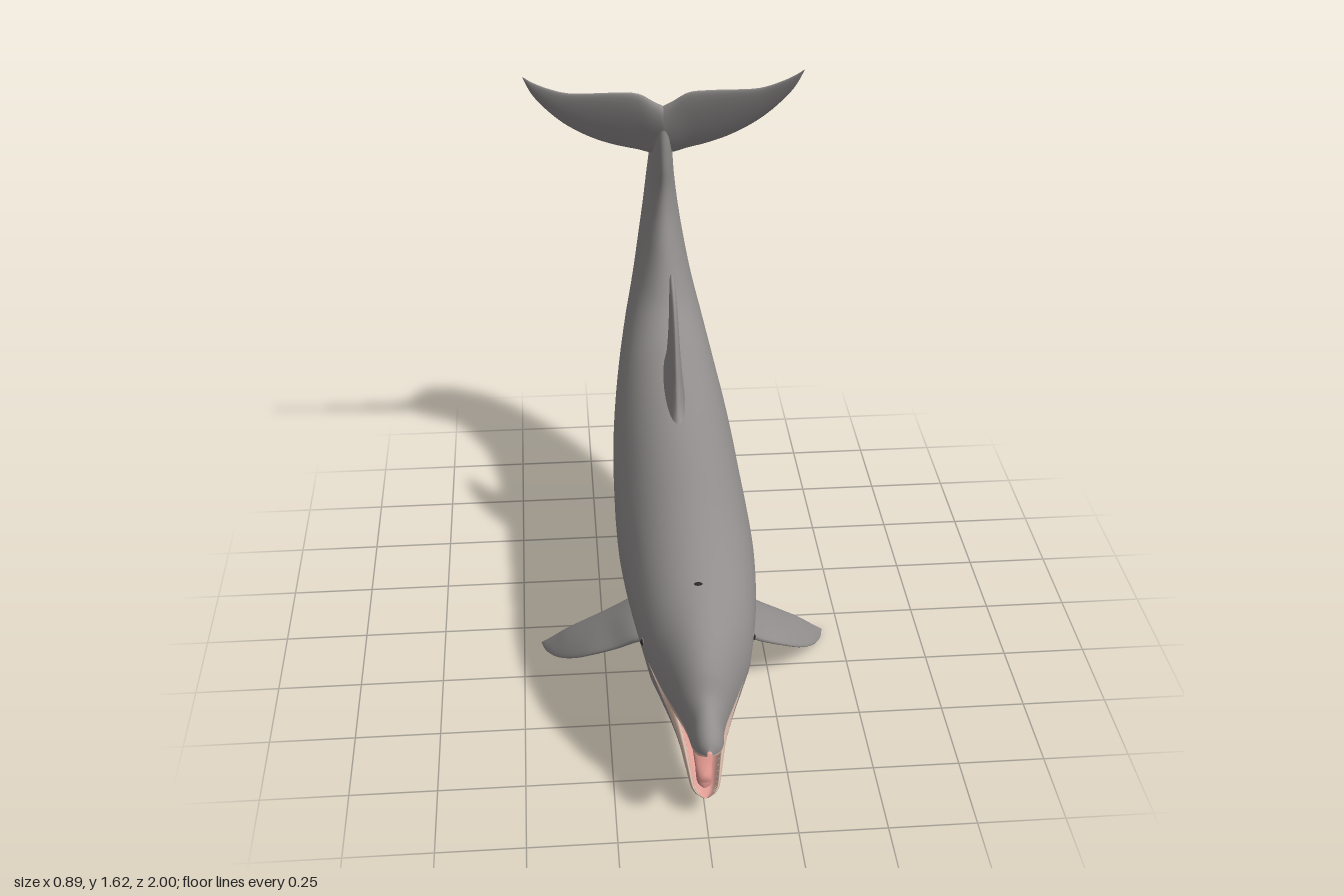
import * as THREE from 'three';

const mat = (name, color, side = THREE.FrontSide) => {
  const m = new THREE.MeshStandardMaterial({ color, side });
  m.name = name;
  return m;
};
const V = (x, y, z) => new THREE.Vector3(x, y, z);

// Collects rows of points and joins neighbouring rows into a smooth skin
class Skin {
  constructor() { this.pos = []; this.idx = []; }
  row(points) {
    return points.map((p) => this.pos.push(p.x, p.y, p.z) / 3 - 1);
  }
  join(r, s) {
    for (let k = 0; k < r.length - 1; k++) {
      this.idx.push(r[k], s[k], r[k + 1], r[k + 1], s[k], s[k + 1]);
    }
  }
  build() {
    const g = new THREE.BufferGeometry();
    g.setAttribute('position', new THREE.Float32BufferAttribute(this.pos, 3));
    g.setIndex(this.idx);
    g.computeVertexNormals();
    return g;
  }
}

// Rows are [z, y of edge A, z, y of edge B, half width]; returns a smooth sampler
function profile(rows) {
  const a = new THREE.CatmullRomCurve3(rows.map((r) => V(r[4], r[1], r[0])));
  const b = new THREE.CatmullRomCurve3(rows.map((r) => V(0, r[3], r[2])));
  return (t) => {
    const p = a.getPoint(t), w = p.x;
    return { a: p.setX(0), b: b.getPoint(t), w };
  };
}

// Body from tail to mouth corner: back line, belly line, half width
const body = profile([
  [-0.69, 1.45, -0.71, 1.47, 0.012], [-0.69, 1.36, -0.775, 1.42, 0.025],
  [-0.70, 1.28, -0.88, 1.345, 0.035], [-0.722, 1.18, -0.955, 1.22, 0.045],
  [-0.715, 1.10, -0.99, 1.08, 0.058], [-0.68, 1.01, -1.0, 0.95, 0.075],
  [-0.635, 0.915, -0.965, 0.80, 0.098], [-0.58, 0.835, -0.90, 0.66, 0.125],
  [-0.49, 0.78, -0.79, 0.495, 0.152], [-0.38, 0.755, -0.62, 0.335, 0.175],
  [-0.24, 0.725, -0.40, 0.22, 0.192], [-0.05, 0.70, -0.13, 0.155, 0.20],
  [0.14, 0.685, 0.10, 0.155, 0.202], [0.34, 0.67, 0.30, 0.195, 0.195],
  [0.52, 0.635, 0.47, 0.225, 0.18], [0.64, 0.595, 0.61, 0.22, 0.16],
  [0.70, 0.57, 0.68, 0.19, 0.145],
]);
// Jaws from mouth corner to tip: outer line, lip line, half width
const upperJaw = profile([
  [0.70, 0.57, 0.69, 0.38, 0.145], [0.785, 0.525, 0.76, 0.345, 0.115],
  [0.85, 0.465, 0.82, 0.32, 0.085], [0.885, 0.41, 0.865, 0.30, 0.062],
  [0.915, 0.385, 0.90, 0.288, 0.05], [0.955, 0.36, 0.95, 0.288, 0.043],
  [0.985, 0.335, 0.98, 0.29, 0.03], [1.0, 0.31, 1.0, 0.295, 0.008],
]);
const lowerJaw = profile([
  [0.68, 0.19, 0.69, 0.38, 0.145], [0.72, 0.175, 0.735, 0.31, 0.115],
  [0.755, 0.15, 0.77, 0.245, 0.088], [0.785, 0.12, 0.805, 0.18, 0.066],
  [0.82, 0.085, 0.85, 0.13, 0.052], [0.855, 0.062, 0.89, 0.09, 0.04],
  [0.88, 0.058, 0.905, 0.078, 0.027], [0.905, 0.06, 0.915, 0.07, 0.006],
]);
const JAW_STEPS = 28;

function bodyGeometry() {
  const skin = new Skin(), N = 40, STEPS = 80;
  let last;
  for (let i = 0; i <= STEPS; i++) {
    const { a, b, w } = body(i / STEPS);
    const mid = a.clone().add(b).multiplyScalar(0.5), up = a.sub(mid);
    const r = skin.row(Array.from({ length: N }, (_, j) => {
      const q = (j / N) * Math.PI * 2;
      return mid.clone().addScaledVector(up, Math.sin(q)).setX(-w * Math.cos(q));
    }));
    r.push(r[0]);
    if (last) skin.join(last, r);
    last = r;
  }
  // The last ring splits into an upper and a lower jaw
  const H = N / 2;
  [[upperJaw, -1, last.slice(0, H + 1)], [lowerJaw, 1, last.slice(H)]].forEach(([jaw, dir, prev]) => {
    for (let i = 1; i <= JAW_STEPS; i++) {
      const { a, b, w } = jaw(i / JAW_STEPS);
      const r = skin.row(Array.from({ length: H + 1 }, (_, k) => {
        const q = (k / H) * Math.PI;
        return b.clone().lerp(a, Math.sin(q)).setX(dir * w * Math.cos(q));
      }));
      skin.join(prev, r);
      prev = r;
    }
  });
  return skin.build();
}

// Inside face of a jaw between the given fractions of its width
const LIP = 0.74;
function lining(jaw, dir, from, to) {
  const skin = new Skin();
  let last;
  for (let i = 0; i <= JAW_STEPS; i++) {
    const t = i / JAW_STEPS, { a, b, w } = jaw(t), open = Math.min(1, t * 4);
    const r = skin.row(Array.from({ length: 13 }, (_, k) => {
      const u = from + ((to - from) * k) / 12, e = Math.abs(u) / LIP;
      const dip = e < 1 ? 0.35 * (1 - e ** 4) : -0.25 * (e - 1) * (1 / LIP - e) / 0.03;
      return b.clone().lerp(a, dip * open).setX(-dir * w * u);
    }));
    if (last) skin.join(last, r);
    last = r;
  }
  return skin.build();
}

// Fin from stations [leading xyz, trailing xyz, half thickness]; side mirrors it
function fin(rows, side = 1) {
  const curve = (o) => new THREE.CatmullRomCurve3(rows.map((r) => V(side * r[o], r[o + 1], r[o + 2])));
  const lead = curve(0), trail = curve(3), skin = new Skin(), STEPS = 32, N = 24;
  const thick = new THREE.CatmullRomCurve3(rows.map((r) => V(r[6], 0, 0)));
  const mid = (t) => lead.getPoint(t).add(trail.getPoint(t)).multiplyScalar(0.5);
  let last;
  for (let i = 0; i <= STEPS; i++) {
    const t = i / STEPS, c = mid(t), chord = lead.getPoint(t).sub(c);
    const span = mid(Math.min(1, t + 0.03)).sub(mid(Math.max(0, t - 0.03)));
    const n = chord.clone().cross(span).normalize().multiplyScalar(thick.getPoint(t).x);
    const r = skin.row(Array.from({ length: N }, (_, j) => {
      const q = (j / N) * Math.PI * 2;
      return c.clone().addScaledVector(chord, Math.cos(q)).addScaledVector(n, Math.sin(q));
    }));
    r.push(r[0]);
    if (last) skin.join(last, r);
    last = r;
  }
  return skin.build();
}

const dorsalRows = [
  [0.02, 0.66, -0.50, 0.72, 0.035], [-0.08, 0.715, -0.43, 0.76, 0.03],
  [-0.12, 0.78, -0.375, 0.81, 0.024], [-0.15, 0.86, -0.347, 0.88, 0.018],
  [-0.20, 0.965, -0.335, 0.97, 0.013], [-0.26, 1.035, -0.34, 1.03, 0.01],
  [-0.32, 1.065, -0.352, 1.06, 0.006], [-0.352, 1.072, -0.355, 1.07, 0.001],
].map(([lz, ly, tz, ty, h]) => [0, ly, lz, 0, ty, tz, h]);

const flipperRows = [
  [0.10, 0.27, 0.44, 0.10, 0.255, 0.17, 0.035], [0.16, 0.245, 0.415, 0.17, 0.215, 0.165, 0.03],
  [0.22, 0.195, 0.38, 0.24, 0.175, 0.16, 0.022], [0.29, 0.145, 0.34, 0.30, 0.135, 0.145, 0.016],
  [0.35, 0.092, 0.285, 0.36, 0.09, 0.125, 0.012], [0.40, 0.047, 0.215, 0.40, 0.05, 0.105, 0.008],
  [0.435, 0.012, 0.13, 0.43, 0.02, 0.09, 0.005], [0.446, 0.003, 0.08, 0.445, 0.005, 0.08, 0.001],
];

// Flukes lie in a plane leaning forward towards the tips
const flukeZ = (y) => -0.77 + (y - 1.3) * 0.45;
const flukeRows = [
  [0, 1.32, 1.49, 0.03], [0.03, 1.308, 1.51, 0.026], [0.08, 1.322, 1.545, 0.02],
  [0.15, 1.342, 1.552, 0.016], [0.22, 1.372, 1.552, 0.013], [0.30, 1.425, 1.555, 0.01],
  [0.36, 1.485, 1.575, 0.008], [0.41, 1.555, 1.602, 0.005], [0.435, 1.618, 1.622, 0.001],
].map(([x, l, t, h]) => [x, l, flukeZ(l), x, t, flukeZ(t), h]);

export function createModel() {
  const group = new THREE.Group();
  const skinMat = mat('grey skin', 0x918d8d), pink = mat('mouth pink', 0xe0a096, THREE.DoubleSide);
  const lipMat = mat('pale lip', 0xd6b8a8, THREE.DoubleSide), tongueMat = mat('tongue pink', 0xd48f88);
  const cream = mat('tooth cream', 0xe4dccb), dark = mat('dark eye', 0x2a2829);
  const add = (name, geo, material) => {
    const m = new THREE.Mesh(geo, material);
    m.name = name;
    group.add(m);
    return m;
  };

  add('body', bodyGeometry(), skinMat);
  add('dorsalFin', fin(dorsalRows), skinMat);
  for (const [label, s] of [['left', 1], ['right', -1]]) {
    add(label + 'Flipper', fin(flipperRows, s), skinMat);
    add(label + 'Fluke', fin(flukeRows, s), skinMat);

    // Eye with a lid ring
    const eye = add(label + 'Eye', new THREE.SphereGeometry(0.01, 16, 12), dark);
    eye.position.set(s * 0.153, 0.41, 0.64);
    const lid = add(label + 'Eyelid', new THREE.TorusGeometry(0.012, 0.004, 8, 20), skinMat);
    lid.position.set(s * 0.154, 0.41, 0.64);
    lid.rotation.y = s * 1.35;
  }

  // Mouth lining, lips and teeth of both jaws
  const toothGeo = new THREE.ConeGeometry(0.004, 0.014, 6);
  for (const [label, jaw, dir] of [['upper', upperJaw, -1], ['lower', lowerJaw, 1]]) {
    add(label + 'MouthLining', lining(jaw, dir, LIP, -LIP), pink);
    add(label + 'LipA', lining(jaw, dir, 1, LIP), lipMat);
    add(label + 'LipB', lining(jaw, dir, -LIP, -1), lipMat);
    for (let i = 0; i < 20; i++) {
      const { a, b, w } = jaw(0.14 + i * 0.036), out = b.clone().sub(a).normalize();
      for (const s of [-1, 1]) {
        const tooth = add(label + 'Tooth', toothGeo, cream);
        tooth.position.copy(b).addScaledVector(out, 0.005).setX(s * w * 0.77);
        tooth.quaternion.setFromUnitVectors(V(0, 1, 0), out);
      }
    }
  }

  // Tongue lying on the lower jaw
  add('tongue', fin([0.08, 0.25, 0.4, 0.55, 0.68, 0.74].map((t, i) => {
    const { a, b, w } = lowerJaw(t), c = b.lerp(a, 0.25), h = w * (i === 5 ? 0.08 : 0.45);
    return [h, c.y, c.z, -h, c.y, c.z, i === 5 ? 0.001 : 0.012];
  })), tongueMat);

  // Blowhole
  const hole = add('blowhole', new THREE.SphereGeometry(0.012, 16, 8), dark);
  hole.scale.set(1, 0.25, 0.5);
  hole.position.set(0, 0.597, 0.635);
  hole.rotation.x = 0.4;
  return group;
}
